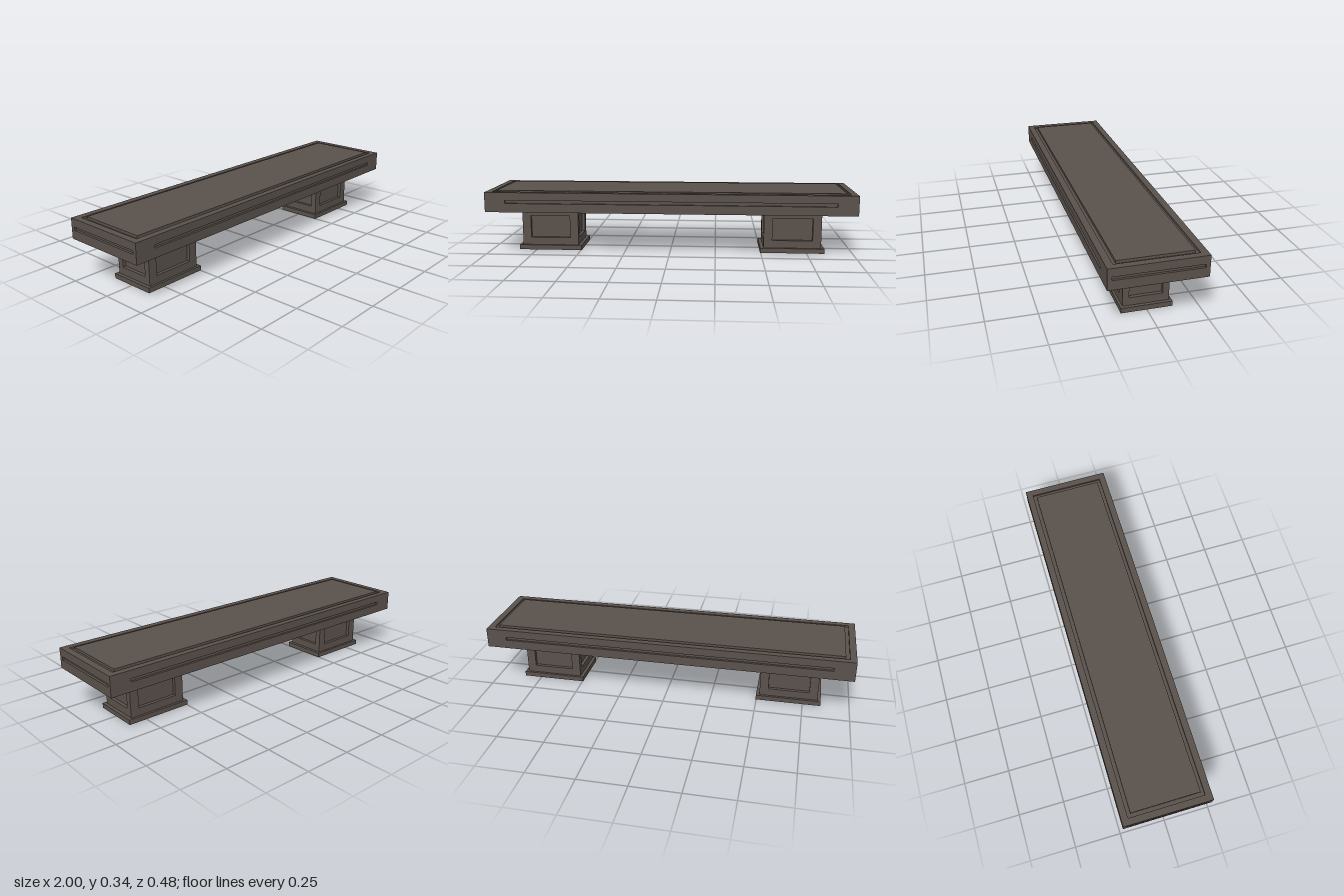
import * as THREE from 'three';

const stone = new THREE.MeshStandardMaterial({ color: 0x5a514c });
stone.name = 'dark stone';

function mesh(name, geometry, x = 0, y = 0, z = 0) {
  const m = new THREE.Mesh(geometry, stone);
  m.name = name;
  m.position.set(x, y, z);
  return m;
}

// Rectangular plate with a rectangular opening, centred on x and y, front face at z = depth
function frame(w, h, holeW, holeH, depth, holeY = 0) {
  const rect = (target, a, b, cy) => target
    .moveTo(-a / 2, cy - b / 2).lineTo(a / 2, cy - b / 2)
    .lineTo(a / 2, cy + b / 2).lineTo(-a / 2, cy + b / 2).closePath();
  const shape = rect(new THREE.Shape(), w, h, 0);
  shape.holes.push(rect(new THREE.Path(), holeW, holeH, holeY));
  return new THREE.ExtrudeGeometry(shape, { depth, bevelEnabled: false });
}

// Block with a sunken panel in each of its four sides, standing on y = 0
function panelledBlock(name, w, h, d, panelW, panelD, panelH, panelY, recess) {
  const group = new THREE.Group();
  group.name = name;
  group.add(mesh('core', new THREE.BoxGeometry(w - 2 * recess, h, d - 2 * recess), 0, h / 2, 0));
  const holeY = panelY - h / 2;
  for (const s of [1, -1]) {
    const long = mesh('longFrame', frame(w, h, panelW, panelH, recess, holeY), 0, h / 2, s * (d / 2 - recess));
    long.rotation.y = s > 0 ? 0 : Math.PI;
    const end = mesh('endFrame', frame(d - 2 * recess, h, panelD, panelH, recess, holeY), s * (w / 2 - recess), h / 2, 0);
    end.rotation.y = s * Math.PI / 2;
    group.add(long, end);
  }
  return group;
}

export function createModel() {
  const bench = new THREE.Group();
  bench.name = 'bench';

  // Seat slab with a narrow slot along each side
  const slab = panelledBlock('seatSlab', 2, 0.098, 0.476, 1.78, 0.434, 0.017, 0.057, 0.012);
  slab.position.y = 0.231;
  bench.add(slab);

  // Rim and raised panel, with a groove between them
  const rim = mesh('seatRim', frame(2, 0.476, 1.93, 0.406, 0.01), 0, 0.329, 0);
  rim.rotation.x = -Math.PI / 2;
  bench.add(rim, mesh('seatPanel', new THREE.BoxGeometry(1.89, 0.014, 0.37), 0, 0.336, 0));

  // Two panelled pedestals on plinths
  for (const s of [1, -1]) {
    const pedestal = panelledBlock('pedestal', 0.314, 0.205, 0.23, 0.22, 0.166, 0.123, 0.103, 0.018);
    pedestal.position.set(s * 0.672, 0.026, 0);
    bench.add(pedestal, mesh('plinth', new THREE.BoxGeometry(0.35, 0.026, 0.256), s * 0.672, 0.013, 0));
  }
  return bench;
}
